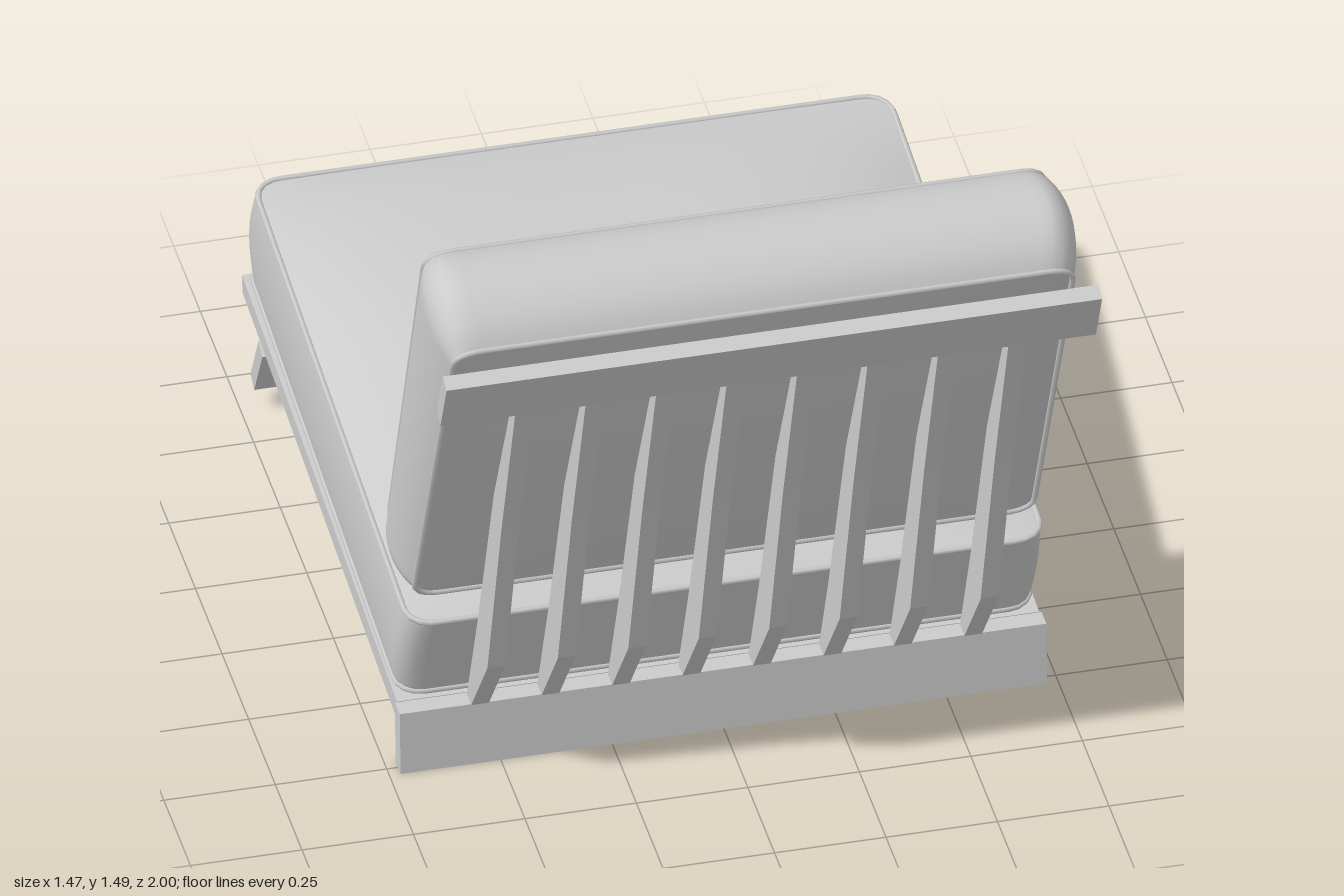
import * as THREE from 'three';
import { mergeGeometries } from 'three/addons/utils/BufferGeometryUtils.js';

const material = new THREE.MeshStandardMaterial({ color: 0xcccccc, roughness: 0.8 });

function addMesh(parent, name, geometry) {
  const mesh = new THREE.Mesh(geometry, material);
  mesh.name = name;
  parent.add(mesh);
  return mesh;
}

// Side profile of [z, y] points, extruded symmetrically along x
function extrudeAcross(profile, width) {
  const shape = new THREE.Shape(profile.map(([z, y]) => new THREE.Vector2(z, y)));
  const geometry = new THREE.ExtrudeGeometry(shape, { depth: width, bevelEnabled: false });
  return geometry.translate(0, 0, -width / 2).rotateY(-Math.PI / 2);
}

// Rounded square outline in the cushion's own (u, v) plane, from -1 to 1
const SEGMENTS = 240;
function roundedOutline(r) {
  const path = new THREE.Path();
  path.moveTo(1, 0);
  path.lineTo(1, 1 - r);
  path.absarc(1 - r, 1 - r, r, 0, Math.PI / 2);
  path.lineTo(-1 + r, 1);
  path.absarc(-1 + r, 1 - r, r, Math.PI / 2, Math.PI);
  path.lineTo(-1, -1 + r);
  path.absarc(-1 + r, -1 + r, r, Math.PI, Math.PI * 1.5);
  path.lineTo(1 - r, -1);
  path.absarc(1 - r, -1 + r, r, Math.PI * 1.5, Math.PI * 2);
  path.lineTo(1, 0);
  return path.getSpacedPoints(SEGMENTS);
}

// Box cushion: two crowned panels, a bulging border and piping on both seams.
// face and base hold the seam's [z, y] at v = -1 and v = +1.
function makeCushion(name, o) {
  const outline = roundedOutline(0.08);
  const vec = ([z, y]) => new THREE.Vector3(0, y, z);
  const face = o.face.map(vec), base = o.base.map(vec);

  function place(u, v, w, crown) {
    const t = (v + 1) / 2;
    const start = base[0].clone().lerp(face[0], w);
    const end = base[1].clone().lerp(face[1], w);
    const along = end.clone().sub(start).normalize();
    const normal = new THREE.Vector3(1, 0, 0).cross(along);
    const bulge = Math.pow(Math.max(0, Math.sin(Math.PI * w)), 0.75);
    const endBulge = (v > 0 ? o.endBulge[1] : -o.endBulge[0]) * Math.pow(Math.abs(v), 14);
    const p = start.lerp(end, t).addScaledVector(along, endBulge * bulge);
    const dome = Math.max(0, 1 - u ** 4) * Math.pow(Math.max(0, 1 - v * v), 0.8);
    p.addScaledVector(normal, crown * dome);
    p.x = u * (o.halfWidth + o.sideBulge * bulge);
    return p;
  }

  function skin(rows, rule) {
    const geometry = new THREE.PlaneGeometry(1, 1, SEGMENTS, rows);
    const pos = geometry.attributes.position;
    for (let i = 0; i < pos.count; i++) {
      const point = outline[i % (SEGMENTS + 1)];
      const p = rule(point, Math.floor(i / (SEGMENTS + 1)) / rows);
      pos.setXYZ(i, p.x, p.y, p.z);
    }
    geometry.computeVertexNormals();
    return geometry;
  }

  const group = new THREE.Group();
  group.name = name;
  addMesh(group, name + 'Cover', mergeGeometries([
    skin(18, (q, s) => place(q.x * s, q.y * s, 1, o.faceCrown)),
    skin(12, (q, s) => place(q.x, q.y, 1 - s, 0)),
    skin(18, (q, s) => place(q.x * (1 - s), q.y * (1 - s), 0, -o.baseCrown)),
  ]));
  for (const w of [0, 1]) {
    const points = outline.slice(0, -1).map((q) => place(q.x, q.y, w, 0));
    const curve = new THREE.CatmullRomCurve3(points, true);
    addMesh(group, name + 'Piping', new THREE.TubeGeometry(curve, SEGMENTS, 0.007, 6, true));
  }
  return group;
}

export function createModel() {
  const model = new THREE.Group();
  model.name = 'loungeChair';

  // Cushions
  model.add(makeCushion('seatCushion', {
    face: [[0.56, 0.42], [-0.92, 0.572]],
    base: [[0.46, 0.167], [-0.96, 0.32]],
    halfWidth: 0.712, sideBulge: 0.008, endBulge: [0, 0.06],
    faceCrown: 0.085, baseCrown: 0.04,
  }));
  model.add(makeCushion('backCushion', {
    face: [[0.63, 1.465], [0.288, 0.51]],
    base: [[0.905, 1.39], [0.515, 0.47]],
    halfWidth: 0.695, sideBulge: 0.03, endBulge: [0.065, 0.005],
    faceCrown: 0.1, baseCrown: 0.018,
  }));

  // Seat board and rails
  addMesh(model, 'seatBoard',
    extrudeAcross([[0.465, 0.107], [0.47, 0.155], [-0.985, 0.28], [-0.98, 0.236]].reverse(), 1.44));
  addMesh(model, 'rearFootRail',
    extrudeAcross([[0.477, 0], [0.525, 0], [0.517, 0.155], [0.472, 0.155]], 1.45));
  addMesh(model, 'topRail',
    extrudeAcross([[0.905, 1.25], [0.94, 1.23], [0.998, 1.366], [0.963, 1.38]], 1.47));

  // Back slats, broadest at the bend
  const slatProfile = [[0.475, 0.15], [0.515, 0.15], [0.67, 0.36], [0.8, 0.82], [0.935, 1.24],
    [0.905, 1.25], [0.73, 0.87], [0.575, 0.415]];
  for (let i = 0; i < 8; i++) {
    const slat = addMesh(model, 'backSlat', extrudeAcross(slatProfile, 0.04));
    slat.position.x = -0.545 + i * 0.158;
  }

  // Tilted front foot with a dipped upper edge
  const foot = new THREE.Shape();
  foot.moveTo(-0.72, 0);
  foot.lineTo(0.72, 0);
  foot.lineTo(0.72, 0.16);
  foot.lineTo(0.5, 0.16);
  foot.bezierCurveTo(0.25, 0.16, 0.2, 0.095, 0, 0.095);
  foot.bezierCurveTo(-0.2, 0.095, -0.25, 0.16, -0.5, 0.16);
  foot.lineTo(-0.72, 0.16);
  const footGeometry = new THREE.ExtrudeGeometry(foot,
    { depth: 0.04, bevelEnabled: false, curveSegments: 16 });
  const frontFoot = addMesh(model, 'frontFoot', footGeometry.translate(0, 0, -0.02));
  frontFoot.position.set(0, 0.061, -0.887);
  frontFoot.rotation.x = 0.49;

  return model;
}
